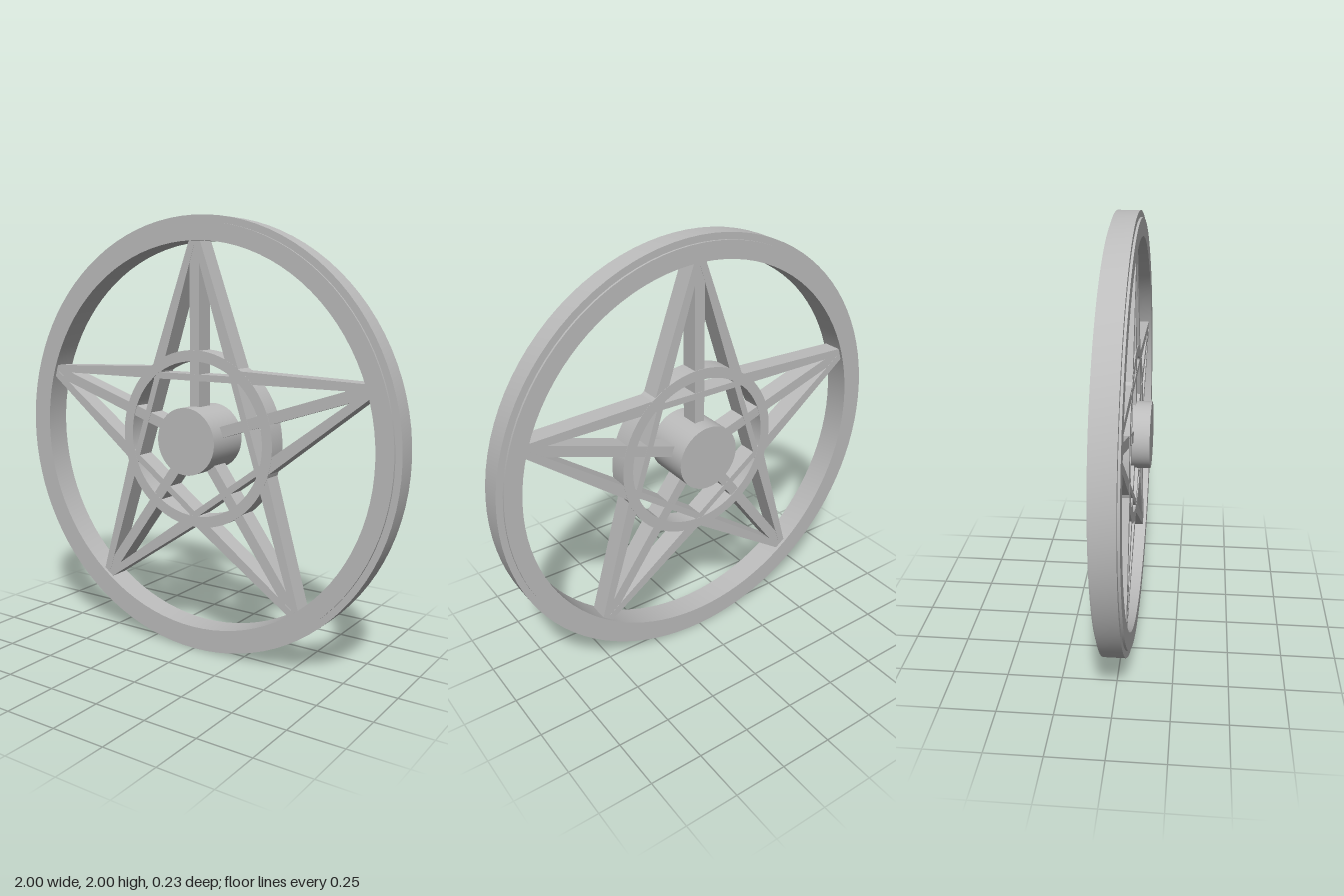
import * as THREE from 'three';
import { toCreasedNormals } from 'three/addons/utils/BufferGeometryUtils.js';

export function createModel() {
  const model = new THREE.Group();
  model.name = 'starWheel';
  const wheel = new THREE.Group();
  wheel.name = 'wheel';
  wheel.position.y = 1;
  model.add(wheel);

  const metal = new THREE.MeshStandardMaterial({ color: 0xbcbcbc });
  metal.name = 'greyMetal';

  const add = (name, geometry, turn = 0) => {
    const mesh = new THREE.Mesh(geometry, metal);
    mesh.name = name;
    mesh.rotation.z = turn;
    wheel.add(mesh);
  };

  // Closed profile of [radius, z] spun around the axle
  const spin = (profile) => {
    const points = [...profile, profile[0]].map(([r, z]) => new THREE.Vector2(r, z));
    const geometry = new THREE.LatheGeometry(points, 96).rotateX(Math.PI / 2);
    return toCreasedNormals(geometry, 0.5);
  };

  // Rim with a raised band on both faces
  add('rim', spin([
    [1, -0.05], [1, 0.05], [0.97, 0.05], [0.97, 0.06],
    [0.89, 0.06], [0.89, -0.06], [0.97, -0.06], [0.97, -0.05],
  ]));

  // Ring crossing the star
  add('innerRing', spin([[0.408, -0.046], [0.408, 0.046], [0.358, 0.046], [0.358, -0.046]]));

  // Solid hub
  const hub = new THREE.CylinderGeometry(0.154, 0.154, 0.23, 64).rotateX(Math.PI / 2);
  add('hub', hub);

  // Star bar from tip to tip: widest at the notches, thin across the middle
  const right = [[0.865, 0.27], [0.845, 0.303], [0.235, 0.325], [0.2, 0.3]];
  const left = right.map(([x, y]) => [-x, y]).reverse();
  const barShape = new THREE.Shape([...right, ...left].map(([x, y]) => new THREE.Vector2(x, y)));
  const bar = new THREE.ExtrudeGeometry(barShape, { depth: 0.09, bevelEnabled: false });
  bar.translate(0, 0, -0.045);

  // Radial spoke from the hub to a star tip
  const spoke = new THREE.BoxGeometry(0.05, 0.78, 0.088).translate(0, 0.51, 0);

  for (let i = 0; i < 5; i++) {
    const turn = (i * Math.PI * 2) / 5;
    add('starBar' + (i + 1), bar, turn);
    add('spoke' + (i + 1), spoke, turn);
  }
  return model;
}
